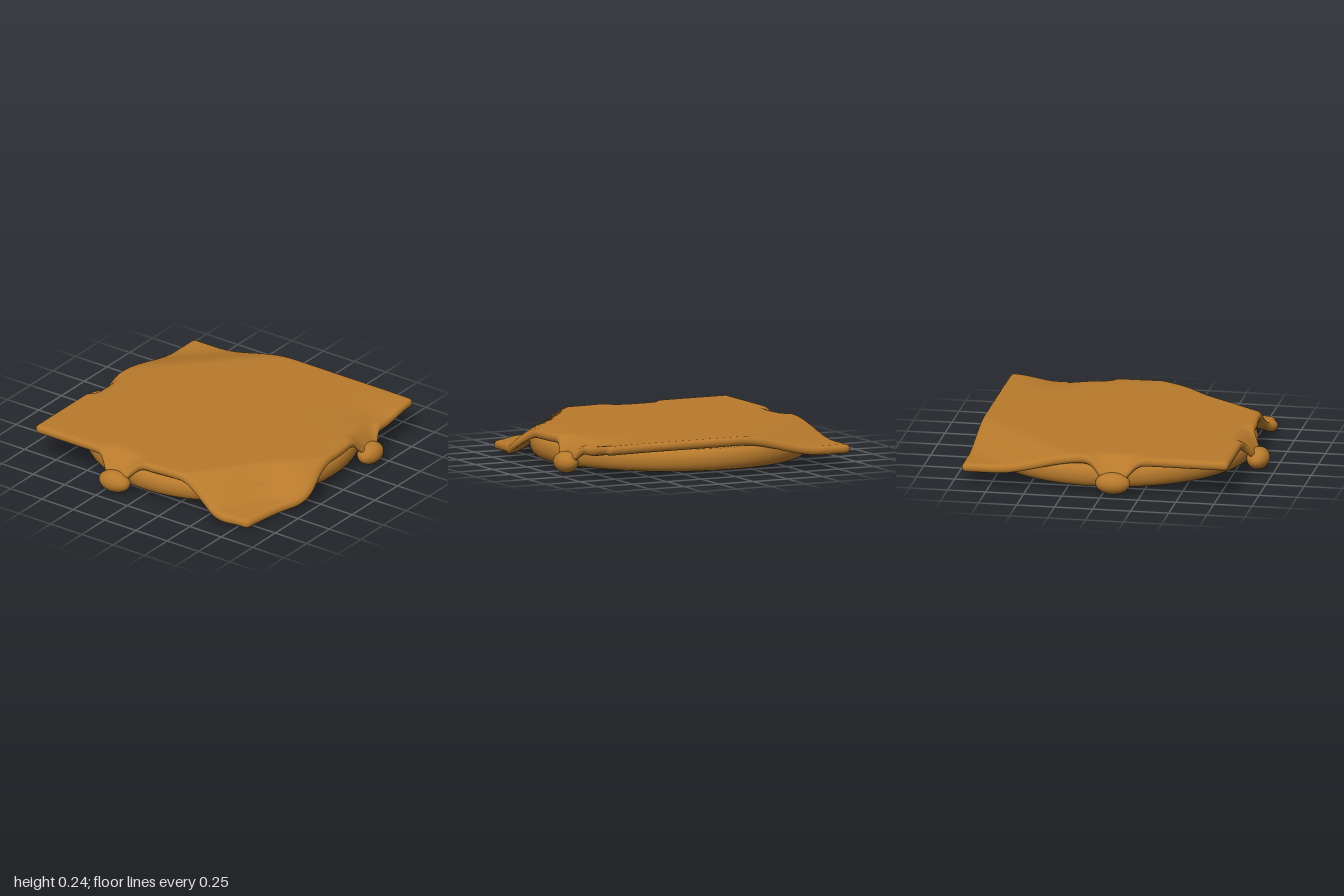
import * as THREE from 'three';
import { mergeVertices } from 'three/addons/utils/BufferGeometryUtils.js';

const { clamp, smoothstep } = THREE.MathUtils;
const bump = (v, c, s) => Math.exp(-(((v - c) / s) ** 2));

// Square slab with rounded rim
const X0 = -0.82, X1 = 0.935, Z0 = -0.875, Z1 = 0.885;
const CX = (X0 + X1) / 2, CZ = (Z0 + Z1) / 2, R = 0.03, TOP = 0.252;

// Drips: position on the rim, outward direction, reach, width, blob size
const drips = [
  { x: X0, z: -0.18, dx: -1, dz: 0, reach: 0.08, width: 0.12 },
  { x: -0.07, z: Z0, dx: 0, dz: -1, reach: 0.055, width: 0.12 },
  { x: 0.4, z: Z1, dx: 0, dz: 1, reach: 0.05, width: 0.11 },
];

// Melts one point of the slab: corners fold down, edges bulge and drip
function melt(p) {
  const { x, z } = p;
  let ox = 0, oz = 0, drop = 0;

  // Front left corner folds down steeply
  const a = (x + 0.5) * -0.6 + (z - 0.52) * 0.8;
  drop += 0.14 * smoothstep(a, 0, 0.25) + 0.1 * Math.max(a, 0);
  // Back right corner sags gently
  const b = (x - 0.4) * 0.707 - (z + 0.65) * 0.707;
  drop += 0.1 * smoothstep(b, -0.04, 0.38);
  // Shallow dip in the front edge
  drop += 0.042 * bump(x, 0.62, 0.18) * bump(z, 0.92, 0.22);
  drop += 0.01 * smoothstep(z, 0.7, 0.9) * bump(x, 0.05, 0.3);

  // Uneven rim
  const front = smoothstep(z, 0.6, 0.88), left = smoothstep(-x, 0.55, 0.82);
  oz += front * (0.065 * bump(x, -0.32, 0.17) + 0.035 * bump(x, 0.03, 0.28) - 0.06 * bump(x, -0.88, 0.25));
  ox -= left * (0.045 * bump(z, 0.65, 0.13) + 0.015 * bump(z, 0.05, 0.12));

  // Drips pull the rim outward and down
  for (const d of drips) {
    const along = d.dx ? z - d.z : x - d.x;
    const inset = d.dx ? (d.x - x) * d.dx : (d.z - z) * d.dz;
    const w = Math.exp(-((Math.abs(along) / d.width) ** 3));
    const t = 1 - smoothstep(inset, 0, 0.12);
    ox += d.dx * d.reach * w * t;
    oz += d.dz * d.reach * w * t;
    drop += 0.125 * w * t * t;
  }
  p.set(x + ox, p.y - drop, z + oz);
}

function sliceGeometry() {
  const g = new THREE.BoxGeometry(X1 - X0, 2 * R, Z1 - Z0, 120, 4, 120);
  g.deleteAttribute('normal');
  g.deleteAttribute('uv');
  const geo = mergeVertices(g, 1e-5);
  const pos = geo.attributes.position;
  const p = new THREE.Vector3(), q = new THREE.Vector3();
  const hx = (X1 - X0) / 2 - R, hz = (Z1 - Z0) / 2 - R;
  for (let i = 0; i < pos.count; i++) {
    p.fromBufferAttribute(pos, i);
    q.set(clamp(p.x, -hx, hx), 0, clamp(p.z, -hz, hz));
    // Round the rim only; the flat faces keep their height
    if (q.x !== p.x || q.z !== p.z) p.sub(q).setLength(R).add(q);
    p.x += CX;
    p.z += CZ;
    p.y += TOP - R;
    melt(p);
    pos.setXYZ(i, p.x, p.y, p.z);
  }
  geo.computeVertexNormals();
  return geo;
}

export function createModel() {
  const group = new THREE.Group();
  const amber = new THREE.MeshStandardMaterial({ color: 0xb87a2c });
  amber.name = 'amber';
  const add = (name, geo) => {
    const mesh = new THREE.Mesh(geo, amber);
    mesh.name = name;
    group.add(mesh);
    return mesh;
  };

  // Round base disc: flat underside and rounded side
  const profile = [new THREE.Vector2(0, 0.043), new THREE.Vector2(0.855, 0.043)];
  for (let i = 0; i <= 14; i++) {
    const t = -Math.PI / 2 + (Math.PI * i) / 14;
    profile.push(new THREE.Vector2(0.856 + 0.046 * Math.cos(t), 0.115 + 0.071 * Math.sin(t)));
  }
  profile.push(new THREE.Vector2(0, 0.187));
  add('baseDisc', new THREE.LatheGeometry(profile, 96)).position.set(0.06, 0, 0);

  // Melted square slice
  add('meltedSlice', sliceGeometry());

  // Thick rounded ends of the drips
  for (const d of drips) {
    const blob = add('dripEnd', new THREE.SphereGeometry(1, 32, 20));
    const side = d.width * 0.95, out = 0.075;
    blob.scale.set(d.dx ? out : side, 0.07, d.dx ? side : out);
    const shift = d.reach - 0.01;
    blob.position.set(d.x + d.dx * shift, 0.087, d.z + d.dz * shift);
  }
  return group;
}
